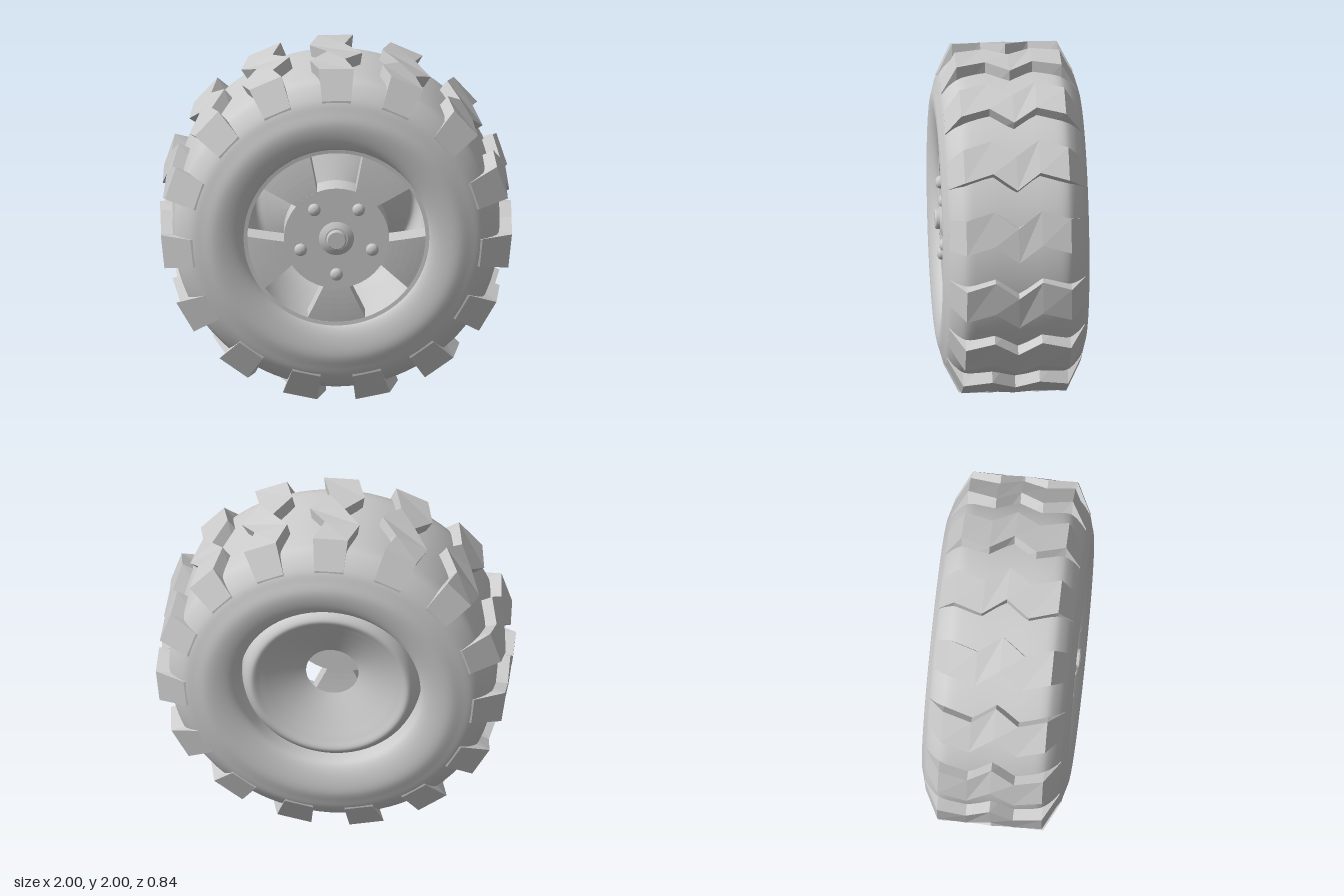
import * as THREE from 'three';

const { sin, cos, PI } = Math;
const smooth = new THREE.MeshStandardMaterial({ color: 0xcccccc });
const thin = new THREE.MeshStandardMaterial({ color: 0xcccccc, side: THREE.DoubleSide });

// Point at radius r, angle a (clockwise from the top) and depth z; the axle runs along z
const polar = (r, a, z) => [r * sin(a), r * cos(a), z];

// Flat-shaded solid skinned over a list of equal-length closed loops
function loft(loops) {
  const n = loops[0].length;
  const index = [];
  for (let i = 0; i < loops.length - 1; i++) {
    for (let j = 0; j < n; j++) {
      const a = i * n + j, b = i * n + (j + 1) % n;
      index.push(a, b, a + n, b, b + n, a + n);
    }
  }
  const last = (loops.length - 1) * n;
  for (let j = 0; j < n / 2 - 1; j++) {
    const k = n - 1 - j;
    index.push(j, k, j + 1, j + 1, k, k - 1);
    index.push(last + j, last + j + 1, last + k, last + j + 1, last + k - 1, last + k);
  }
  const geo = new THREE.BufferGeometry();
  geo.setAttribute('position', new THREE.Float32BufferAttribute(loops.flat(2), 3));
  geo.setIndex(index);
  const flat = geo.toNonIndexed();
  flat.computeVertexNormals();
  return flat;
}

// Revolve [radius, z] points around the z axis
function revolve(points, segments = 96) {
  const geo = new THREE.LatheGeometry(points.map(([r, z]) => new THREE.Vector2(r, z)), segments);
  return geo.rotateX(PI / 2);
}

// Smooth curve through [radius, z] points
function curved(points, count) {
  const curve = new THREE.CatmullRomCurve3(points.map(([r, z]) => new THREE.Vector3(r, z, 0)));
  return curve.getPoints(count).map((p) => [p.x, p.y]);
}

// Evenly spaced values from a to b
const range = (a, b, n) => Array.from({ length: n + 1 }, (_, i) => a + (b - a) * i / n);

export function createModel() {
  const wheel = new THREE.Group();
  wheel.name = 'wheel';
  const add = (name, geo, material = smooth, parent = wheel) => {
    const mesh = new THREE.Mesh(geo, material);
    mesh.name = name;
    parent.add(mesh);
    return mesh;
  };

  // Tyre body: rounded sidewalls, mirrored front to back
  const side = [[0.515, 0.24], [0.526, 0.355], [0.555, 0.385], [0.62, 0.41], [0.70, 0.419],
    [0.77, 0.402], [0.83, 0.382], [0.89, 0.335], [0.922, 0.29], [0.932, 0.2]];
  const back = side.map(([r, z]) => [r, -z]);
  add('tyre', revolve(curved([...back, [0.932, 0], ...side.slice().reverse()], 80)), thin);

  // Tread: 15 zigzag blocks, each lofted across the width; rows are [z, outer radius, angle offset]
  const rows = [[-0.386, 0.835, 0], [-0.3, 1.002, 0], [-0.135, 1.002, -0.05], [0, 1.002, 0.05],
    [0.135, 1.002, -0.05], [0.3, 1.002, 0], [0.386, 0.835, 0]];
  const block = loft(rows.map(([z, r, off]) => [
    polar(r, off + 0.1, z), polar(r, off - 0.1, z), polar(0.79, off - 0.1, z), polar(0.79, off + 0.1, z),
  ]));
  const tread = new THREE.Group();
  tread.name = 'tread';
  wheel.add(tread);
  for (let i = 0; i < 15; i++) {
    add('treadBlock', block, smooth, tread).rotation.z = -i * 2 * PI / 15;
  }

  // Rim barrel and the shallow rear dish with its open centre
  add('rimDish', revolve(curved([[0.518, 0.32], [0.518, 0.1], [0.518, -0.12], [0.512, -0.24], [0.49, -0.315],
    [0.45, -0.345], [0.40, -0.325], [0.33, -0.29], [0.22, -0.235], [0.15, -0.2]], 48)), thin);
  add('rimEdge', revolve([[0.508, 0.2], [0.53, 0.2], [0.53, 0.362], [0.53, 0.362],
    [0.508, 0.36], [0.508, 0.36], [0.508, 0.2]]), thin);

  // Spokes: lofted outward between the five windows, with a slightly domed face
  const spoke = loft(range(0.28, 0.515, 6).map((r) => {
    const t = (r - 0.28) / 0.235;
    const half = PI / 5 - Math.asin((0.107 + 0.045 * t) / r);
    const z = 0.374 - 0.015 * t * t;
    const angles = range(-half, half, 8);
    return [...angles.map((a) => polar(r, a, z)), ...angles.reverse().map((a) => polar(r, a, z - 0.15))];
  }));

  // Domed wheel nut
  const nut = revolve([[0.036, 0.36], [0.036, 0.386], [0.03, 0.398], [0.017, 0.405], [0, 0.407]], 16);

  const spokes = new THREE.Group();
  spokes.name = 'spokes';
  const nuts = new THREE.Group();
  nuts.name = 'wheelNuts';
  wheel.add(spokes, nuts);
  for (let i = 0; i < 5; i++) {
    const a = PI / 5 + i * 2 * PI / 5;
    add('spoke', spoke, smooth, spokes).rotation.z = -a;
    add('wheelNut', nut, smooth, nuts).position.set(0.215 * sin(a), 0.215 * cos(a), 0);
  }

  // Hub plate and centre cap; doubled points keep edges crisp
  add('hubPlate', revolve([[0, 0.224], [0.3, 0.224], [0.3, 0.224], [0.3, 0.375], [0.3, 0.375], [0, 0.375]], 64));
  add('hubCollar', revolve([[0.1, 0.37], [0.1, 0.377], [0.065, 0.392], [0.065, 0.392], [0, 0.392]], 48));
  add('hubCap', revolve([[0.057, 0.38], [0.057, 0.412], [0.057, 0.412], [0.05, 0.419], [0.05, 0.419], [0, 0.419]], 32));

  wheel.position.y = 1;
  const model = new THREE.Group();
  model.name = 'wheelModel';
  model.add(wheel);
  return model;
}
